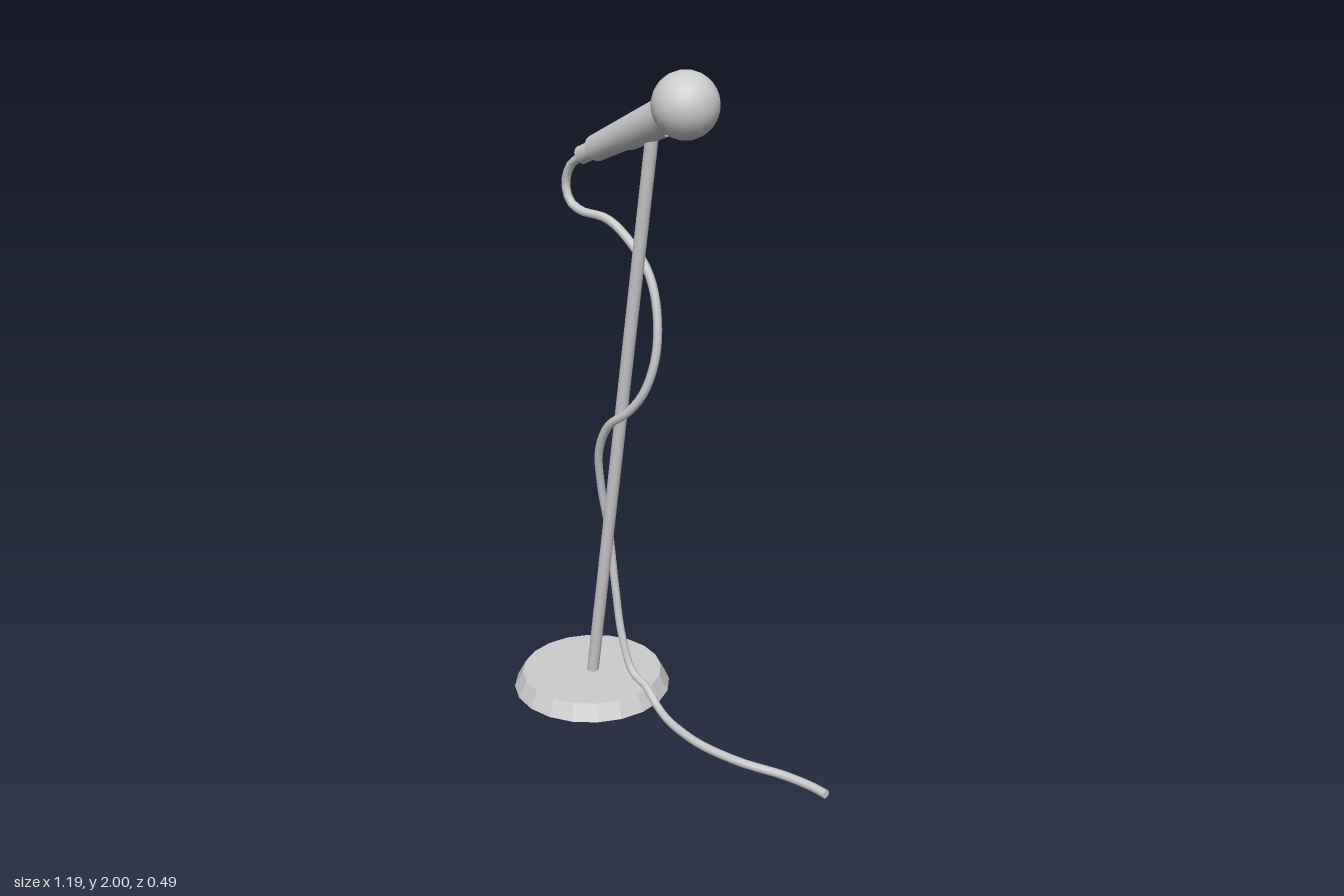
import * as THREE from 'three';

const material = new THREE.MeshStandardMaterial({ color: 0xcccccc, side: THREE.DoubleSide });
const flatMaterial = new THREE.MeshStandardMaterial({ color: 0xcccccc, side: THREE.DoubleSide, flatShading: true });

function part(name, geometry, mat = material) {
  const mesh = new THREE.Mesh(geometry, mat);
  mesh.name = name;
  return mesh;
}

// Tapered cylinder along the local y axis, from y0 to y1
function taper(name, y0, y1, r0, r1, sides, open = false, start = 0, sweep = Math.PI * 2) {
  const g = new THREE.CylinderGeometry(r1, r0, y1 - y0, sides, 1, open, start, sweep);
  g.translate(0, (y0 + y1) / 2, 0);
  return part(name, g);
}

// Hollow weighted foot: a sloped rim and a flat top, open underneath
function createBase() {
  const base = new THREE.Group();
  base.name = 'base';
  const rim = part('baseRim', new THREE.CylinderGeometry(0.22, 0.247, 0.05, 20, 1, true), flatMaterial);
  rim.position.y = 0.025;
  const top = part('baseTop', new THREE.CircleGeometry(0.22, 20));
  top.rotation.x = -Math.PI / 2;
  top.position.y = 0.05;
  base.add(rim, top);
  base.position.x = -0.35;
  return base;
}

// Leaning pole between foot and clip
function createPole() {
  const from = new THREE.Vector3(-0.348, 0.035, 0);
  const to = new THREE.Vector3(-0.05, 1.825, 0);
  const dir = to.clone().sub(from);
  const pole = taper('pole', 0, dir.length(), 0.019, 0.019, 12);
  pole.position.copy(from);
  pole.quaternion.setFromUnitVectors(new THREE.Vector3(0, 1, 0), dir.normalize());
  return pole;
}

// Microphone, built upright with the head at the origin and then tilted
function createMicrophone() {
  const mic = new THREE.Group();
  mic.name = 'microphone';
  mic.add(
    part('head', new THREE.SphereGeometry(0.092, 24, 16)),
    taper('handle', -0.41, -0.06, 0.038, 0.052, 20),
    taper('connector', -0.478, -0.405, 0.027, 0.027, 16),
    // Half sleeve that cradles the underside of the handle
    taper('clip', -0.255, -0.095, 0.049, 0.057, 12, true, 0, Math.PI),
  );
  mic.position.set(0.08, 1.909, 0);
  mic.rotation.z = THREE.MathUtils.degToRad(-65);
  return mic;
}

// Cable: winds down the pole, then trails over the floor
function createCable() {
  const path = [
    [-0.34, 1.71, 0], [-0.405, 1.67, 0], [-0.43, 1.615, 0], [-0.415, 1.565, 0],
    [-0.375, 1.542, -0.005], [-0.27, 1.533, -0.02], [-0.195, 1.49, -0.03], [-0.12, 1.41, -0.04],
    [-0.08, 1.315, -0.038], [-0.063, 1.18, -0.022], [-0.088, 1.065, 0], [-0.14, 0.99, 0.018],
    [-0.215, 0.93, 0.03], [-0.268, 0.83, 0.025], [-0.29, 0.7, 0], [-0.29, 0.545, -0.028],
    [-0.273, 0.36, -0.036], [-0.245, 0.2, -0.037], [-0.195, 0.09, -0.037], [-0.13, 0.065, -0.036],
    [-0.07, 0.027, -0.028], [0, 0.015, -0.01], [0.09, 0.015, 0.006], [0.18, 0.015, 0.01],
    [0.32, 0.015, -0.013], [0.45, 0.015, -0.058], [0.55, 0.015, -0.077], [0.597, 0.015, -0.078],
  ].map(p => new THREE.Vector3(...p));
  const curve = new THREE.CatmullRomCurve3(path);
  const cable = new THREE.Group();
  cable.name = 'cable';
  const end = part('cableEnd', new THREE.CircleGeometry(0.013, 8));
  end.position.copy(path[path.length - 1]);
  end.rotation.y = Math.PI / 2;
  cable.add(part('cableRun', new THREE.TubeGeometry(curve, 110, 0.013, 8)), end);
  return cable;
}

export function createModel() {
  const model = new THREE.Group();
  model.name = 'microphoneStand';
  model.add(createBase(), createPole(), createMicrophone(), createCable());
  return model;
}
